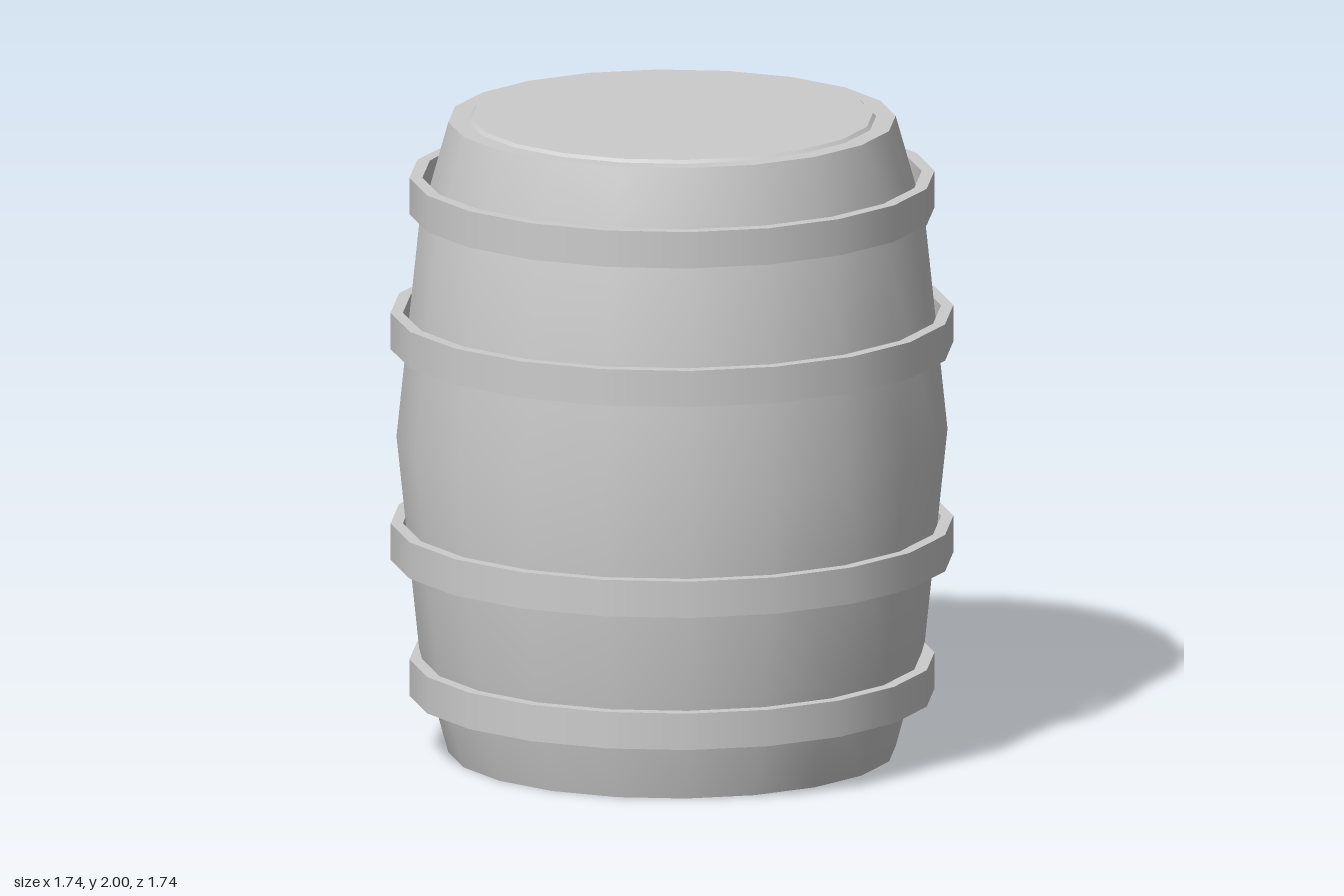
import * as THREE from 'three';
import { mergeGeometries } from 'three/addons/utils/BufferGeometryUtils.js';

const SIDES = 20;

// Revolve each profile run on its own: smooth within a run, sharp between runs
function revolve(...runs) {
  return mergeGeometries(runs.map(run =>
    new THREE.LatheGeometry(run.map(([r, y]) => new THREE.Vector2(r, y)), SIDES)));
}

// Square-section hoop standing slightly clear of the staves
function hoop(inner, outer, y0, y1) {
  return revolve(
    [[outer, y0], [outer, y1]],
    [[outer, y1], [inner, y1]],
    [[inner, y1], [inner, y0]],
    [[inner, y0], [outer, y0]]);
}

export function createModel() {
  const group = new THREE.Group();
  group.name = 'barrel';
  const grey = new THREE.MeshStandardMaterial({ color: 0xcccccc });
  grey.name = 'light grey';

  const add = (name, geometry) => {
    const mesh = new THREE.Mesh(geometry, grey);
    mesh.name = name;
    group.add(mesh);
  };

  // Bulging staves with a flat base and a narrow top rim
  add('barrelBody', revolve(
    [[0, 0], [0.69, 0]],
    [[0.69, 0], [0.78, 0.33], [0.85, 1], [0.78, 1.67], [0.69, 1.99]],
    [[0.69, 1.99], [0.63, 1.99]]));

  // Slightly raised lid with a bevelled edge
  add('lid', revolve(
    [[0.63, 1.99], [0.62, 2]],
    [[0.62, 2], [0, 2]]));

  // Two narrow outer hoops and two wide middle hoops
  add('bottomHoop', hoop(0.77, 0.81, 0.18, 0.295));
  add('lowerMiddleHoop', hoop(0.83, 0.868, 0.61, 0.725));
  add('upperMiddleHoop', hoop(0.83, 0.868, 1.275, 1.39));
  add('topHoop', hoop(0.77, 0.81, 1.7, 1.815));

  return group;
}
